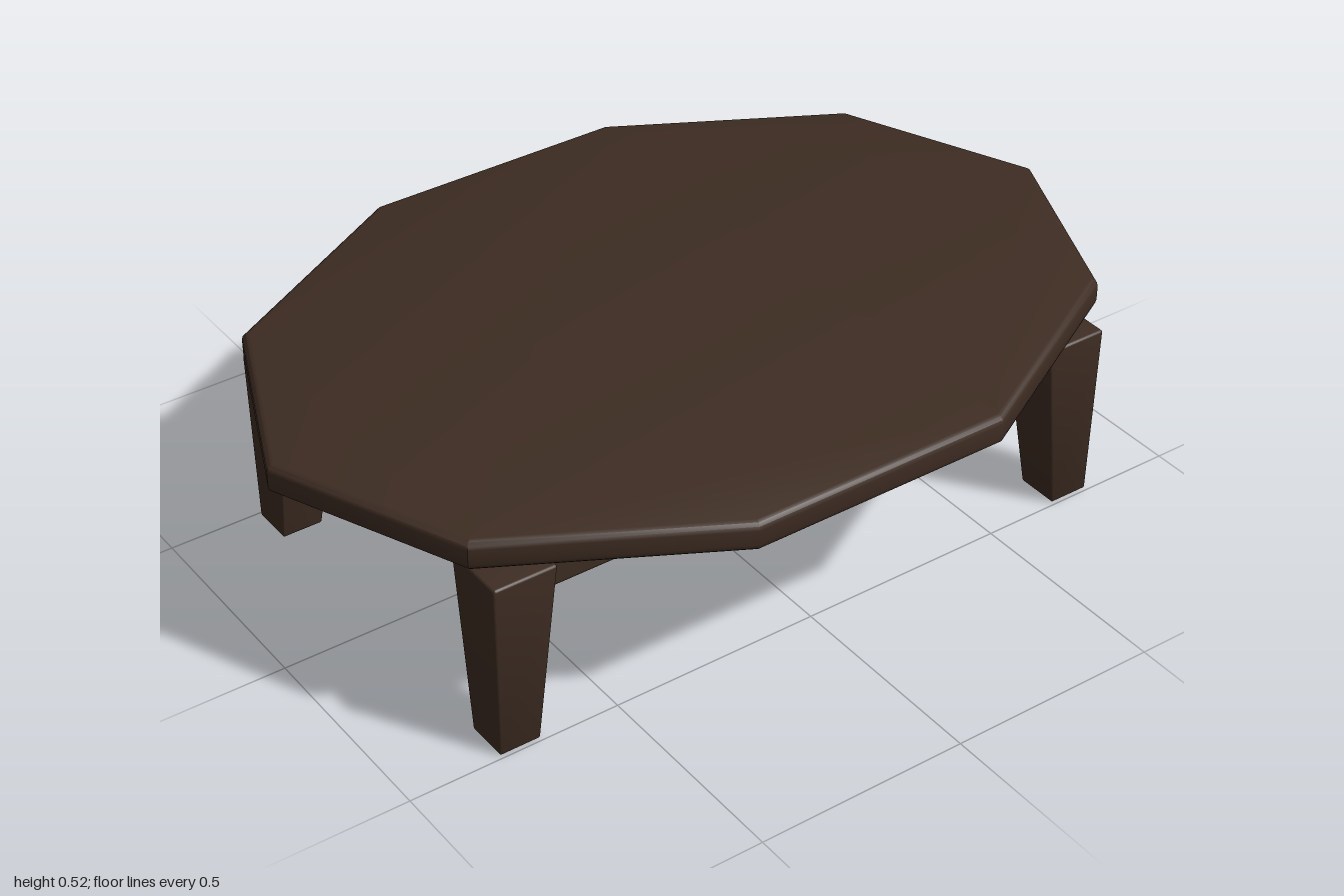
import * as THREE from 'three';
import { RoundedBoxGeometry } from 'three/addons/geometries/RoundedBoxGeometry.js';
import { toCreasedNormals } from 'three/addons/utils/BufferGeometryUtils.js';

const darkWood = new THREE.MeshStandardMaterial({ color: 0x3d2c22 });
darkWood.name = 'darkWood';

function part(name, geometry, x = 0, y = 0, z = 0) {
  const mesh = new THREE.Mesh(geometry, darkWood);
  mesh.name = name;
  mesh.position.set(x, y, z);
  return mesh;
}

// Ten-sided oval slab with softened edges
function tabletopGeometry() {
  const points = [];
  for (let i = 0; i < 10; i++) {
    const a = (i / 10) * Math.PI * 2;
    points.push(new THREE.Vector2(Math.cos(a), Math.sin(a) * 0.76));
  }
  const bevel = 0.017;
  const geo = new THREE.ExtrudeGeometry(new THREE.Shape(points), {
    depth: 0.07 - bevel * 2, bevelEnabled: true, bevelSize: bevel,
    bevelThickness: bevel, bevelOffset: -bevel, bevelSegments: 3,
  });
  geo.translate(0, 0, bevel);
  geo.rotateX(-Math.PI / 2);
  return toCreasedNormals(geo, 0.56);
}

// Square leg tapering to the foot, mostly on its inner sides
function legGeometry(sx, sz) {
  const h = 0.43, w = 0.15, d = 0.155;
  const geo = new RoundedBoxGeometry(w, h, d, 2, 0.006);
  const p = geo.attributes.position;
  for (let i = 0; i < p.count; i++) {
    const t = p.getY(i) / h + 0.5;
    const mix = (foot, top) => foot + (top - foot) * t;
    const x = mix(0.733, 0.711) + sx * (p.getX(i) / w) * mix(0.097, 0.15);
    const z = mix(0.441, 0.422) + sz * (p.getZ(i) / d) * mix(0.102, 0.157);
    p.setXYZ(i, sx * x, t * h, sz * z);
  }
  return toCreasedNormals(geo, 0.6);
}

export function createModel() {
  const table = new THREE.Group();
  table.name = 'coffeeTable';
  table.add(part('tabletop', tabletopGeometry(), 0, 0.455, 0));

  // Rails joining the legs
  for (const s of [1, -1]) {
    const side = s > 0 ? 'left' : 'right';
    const end = s > 0 ? 'front' : 'back';
    table.add(part(end + 'Rail', new RoundedBoxGeometry(1.42, 0.11, 0.068, 2, 0.01), 0, 0.39, s * 0.42));
    table.add(part(side + 'Rail', new RoundedBoxGeometry(0.068, 0.11, 0.85, 2, 0.01), s * 0.705, 0.39, 0));
  }

  // Corner legs
  for (const sx of [1, -1]) {
    for (const sz of [1, -1]) {
      const name = (sz > 0 ? 'front' : 'back') + (sx > 0 ? 'Left' : 'Right') + 'Leg';
      table.add(part(name, legGeometry(sx, sz)));
    }
  }
  return table;
}
